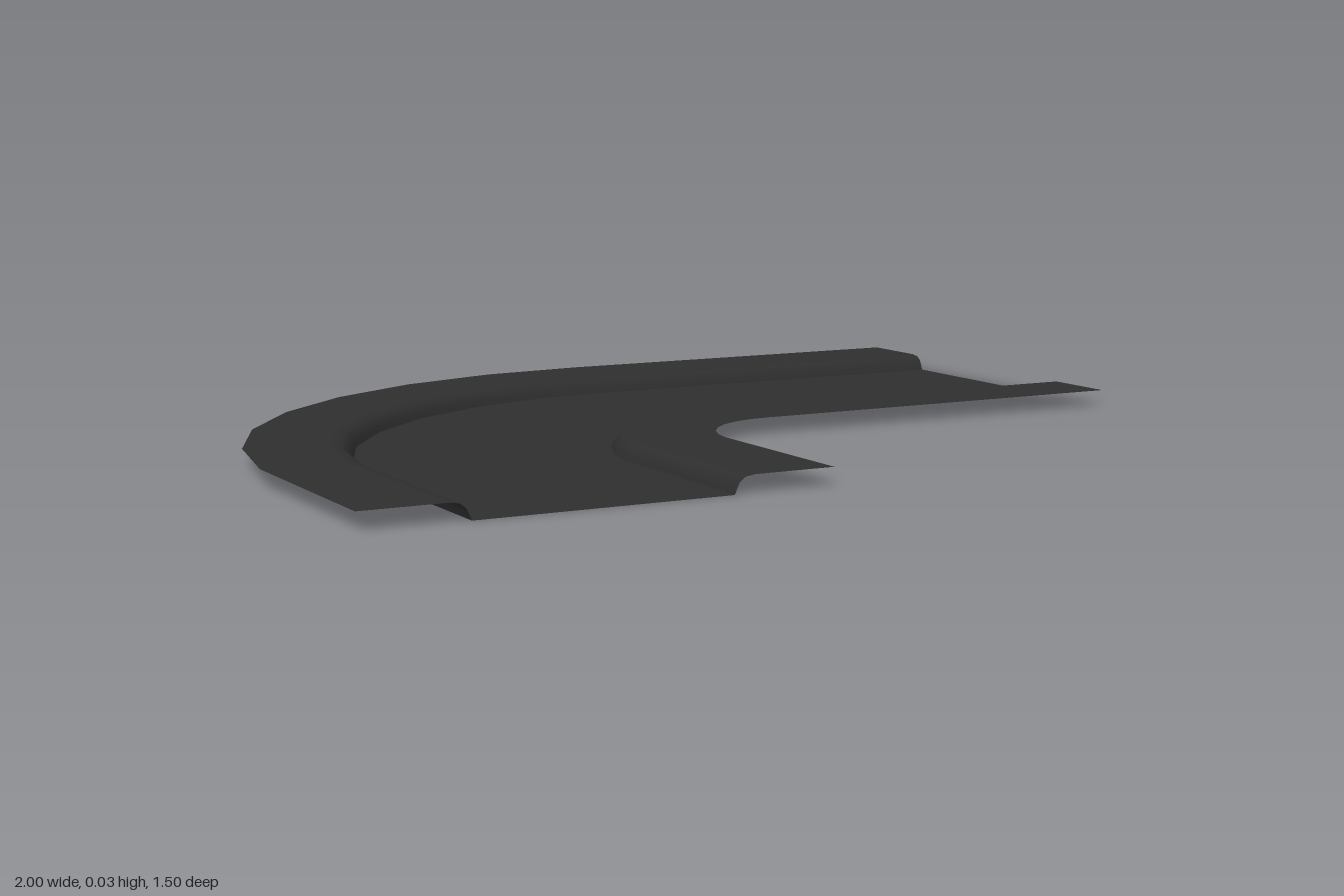
import * as THREE from 'three';

const WIDTH = 0.92;

// Stations along the bend: the outer and inner edge points [x, z] of each cross-section
function makeStations() {
  const stations = [{ outer: [-1, 0.735], inner: [-0.083, 0.745] }];
  const cx = 0.12, cz = 0.37, segments = 7;
  for (let i = 0; i <= segments; i++) {
    const a = THREE.MathUtils.degToRad(5.1 + (86.3 * i) / segments);
    const at = (r) => [cx - r * Math.cos(a), cz - r * Math.sin(a)];
    stations.push({ outer: at(1.123), inner: at(0.203) });
  }
  stations.push({ outer: [1, -0.742], inner: [0.99, 0.172] });
  return stations;
}

// Sweeps a profile of [distance from outer edge, height] through the stations
function sweep(name, profile, stations, material) {
  const positions = [], indices = [], n = profile.length;
  stations.forEach(({ outer, inner }, s) => {
    profile.forEach(([d, y], j) => {
      const t = d / WIDTH;
      positions.push(
        THREE.MathUtils.lerp(outer[0], inner[0], t), y,
        THREE.MathUtils.lerp(outer[1], inner[1], t));
      if (s < stations.length - 1 && j < n - 1) {
        const a = s * n + j, b = a + 1, c = a + n, e = c + 1;
        indices.push(a, b, c, b, e, c);
      }
    });
  });
  const geometry = new THREE.BufferGeometry();
  geometry.setAttribute('position', new THREE.Float32BufferAttribute(positions, 3));
  geometry.setIndex(indices);
  geometry.computeVertexNormals();
  const mesh = new THREE.Mesh(geometry, material);
  mesh.name = name;
  return mesh;
}

export function createModel() {
  const group = new THREE.Group();
  group.name = 'roadBend';
  const material = new THREE.MeshStandardMaterial({ color: 0x2e2e2e, side: THREE.DoubleSide });
  const stations = makeStations();

  // Pavement with a rounded kerb dropping to the road
  const kerb = [[0, 0.034], [0.165, 0.034], [0.185, 0.031], [0.197, 0.022], [0.203, 0.01], [0.207, 0]];
  const mirrored = kerb.map(([d, y]) => [WIDTH - d, y]).reverse();

  group.add(sweep('outerPavement', kerb, stations, material));
  group.add(sweep('roadSurface', [[0.207, 0], [WIDTH - 0.207, 0]], stations, material));
  group.add(sweep('innerPavement', mirrored, stations, material));
  return group;
}
